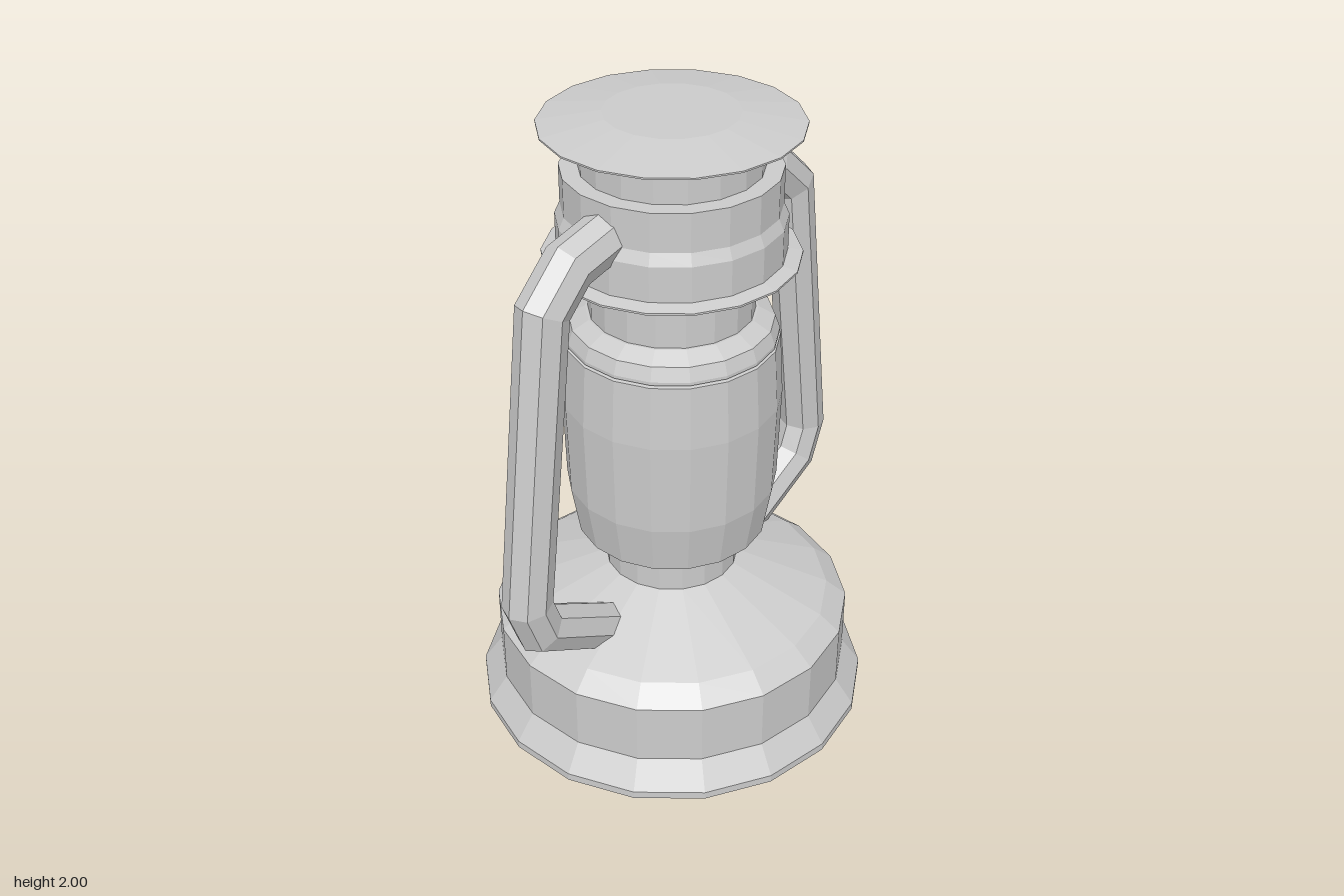
import * as THREE from 'three';

const SIDES = 18;
const material = new THREE.MeshStandardMaterial({
  color: 0xcccccc, flatShading: true, side: THREE.DoubleSide,
});

// Faceted turned part; profile is [radius, height] from bottom to top
function turned(name, profile) {
  const points = profile.map(([r, y]) => new THREE.Vector2(r, y));
  const mesh = new THREE.Mesh(new THREE.LatheGeometry(points, SIDES, Math.PI / 2), material);
  mesh.name = name;
  return mesh;
}

// Octagonal tube swept along a [z, y] path with mitred corners
function sweptTube(path, radius, sides = 8) {
  const pts = path.map(([z, y]) => new THREE.Vector2(z, y));
  const positions = [], index = [];
  pts.forEach((p, i) => {
    const before = p.clone().sub(pts[Math.max(i - 1, 0)]).normalize();
    const after = pts[Math.min(i + 1, pts.length - 1)].clone().sub(p).normalize();
    const tangent = before.clone().add(after).normalize();
    const miter = 1 / tangent.dot(i ? before : after);
    for (let k = 0; k < sides; k++) {
      const a = (k / sides) * Math.PI * 2;
      const out = Math.cos(a) * radius * miter;
      positions.push(Math.sin(a) * radius, p.y - tangent.x * out, p.x + tangent.y * out);
      if (i < pts.length - 1) {
        const m = i * sides + k, n = i * sides + (k + 1) % sides;
        index.push(m, n, m + sides, n, n + sides, m + sides);
      }
    }
  });
  const geometry = new THREE.BufferGeometry();
  geometry.setAttribute('position', new THREE.Float32BufferAttribute(positions, 3));
  geometry.setIndex(index);
  geometry.computeVertexNormals();
  return geometry;
}

export function createModel() {
  const lantern = new THREE.Group();
  lantern.name = 'lantern';

  lantern.add(
    // Fuel tank with flared foot and sloping shoulder
    turned('tank', [[0, 0], [0.63, 0], [0.63, 0.025], [0.57, 0.11], [0.57, 0.31],
      [0.505, 0.363], [0.21, 0.49], [0, 0.49]]),
    turned('burnerNeck', [[0.21, 0.48], [0.21, 0.62]]),
    // Barrel-shaped globe
    turned('globe', [[0, 0.61], [0.26, 0.61], [0.3, 0.64], [0.327, 0.8], [0.335, 1.1],
      [0.323, 1.3], [0.29, 1.305], [0, 1.305]]),
    // Collar holding the globe
    turned('globeCollar', [[0, 1.308], [0.32, 1.308], [0.32, 1.318], [0.305, 1.36],
      [0.255, 1.388], [0, 1.388]]),
    turned('lowerChimney', [[0.247, 1.38], [0.247, 1.55]]),
    // Drum with a thin flange below
    turned('hood', [[0, 1.54], [0.255, 1.54], [0.378, 1.567], [0.378, 1.573], [0.334, 1.582],
      [0.334, 1.69], [0.318, 1.725], [0.318, 1.842], [0, 1.842]]),
    turned('upperChimney', [[0.265, 1.835], [0.265, 1.96]]),
    // Shallow lid
    turned('lid', [[0, 1.955], [0.265, 1.955], [0.378, 1.966], [0.378, 1.971],
      [0.195, 2], [0, 2]]),
  );

  // Side tubes bowing out from the tank to the hood
  const tube = sweptTube([[0.3, 0.37], [0.4, 0.43], [0.615, 0.56], [0.657, 0.675],
    [0.54, 1.6], [0.435, 1.7], [0.28, 1.735]], 0.075);
  const frontTube = new THREE.Mesh(tube, material);
  frontTube.name = 'frontTube';
  frontTube.position.x = 0.01;
  const backTube = new THREE.Mesh(tube, material);
  backTube.name = 'backTube';
  backTube.rotation.y = Math.PI - 0.06;
  backTube.position.x = -0.02;
  lantern.add(frontTube, backTube);

  return lantern;
}
